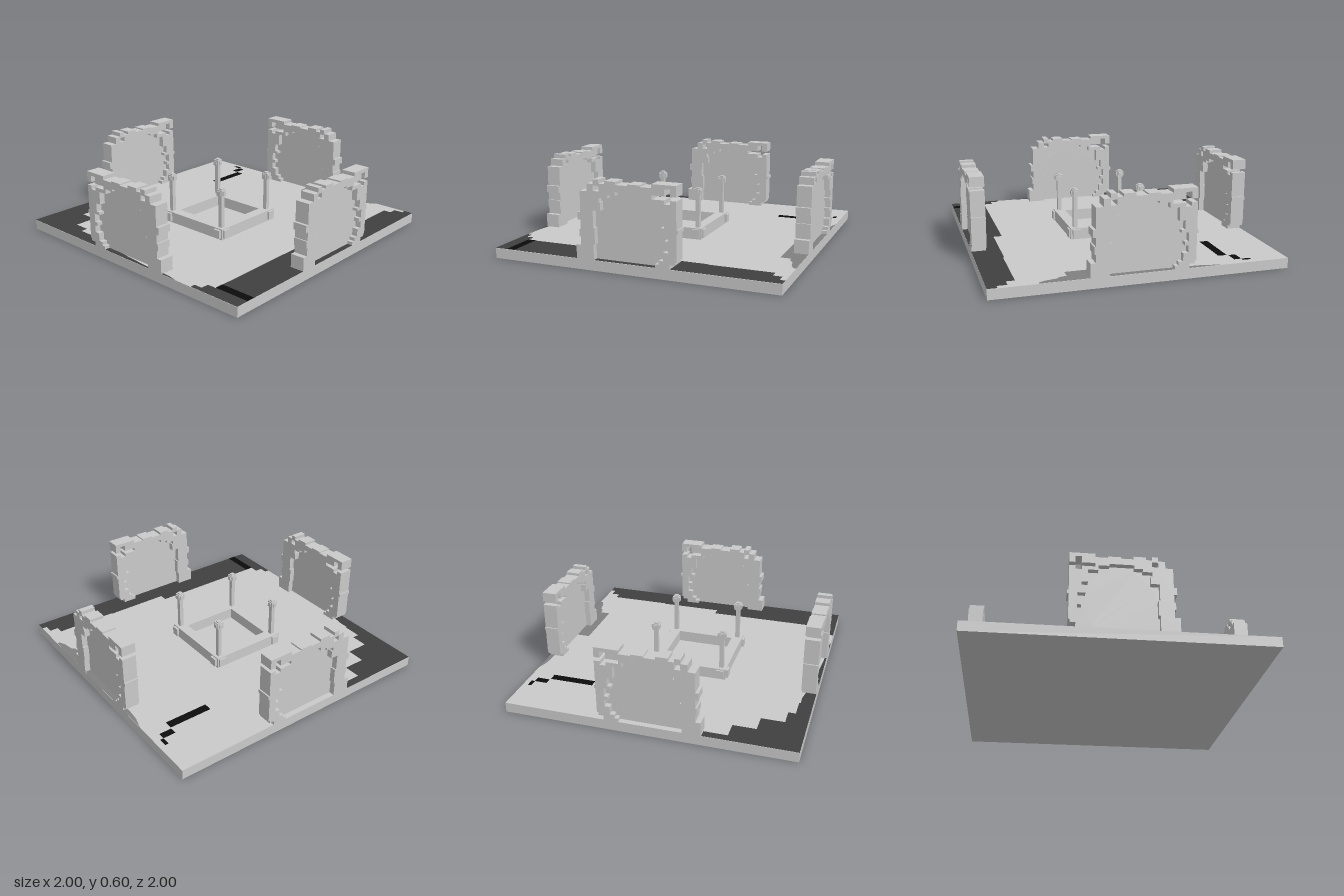
import * as THREE from 'three';

const stone = new THREE.MeshStandardMaterial({ name: 'light stone', color: 0xcacaca });
const dark = new THREE.MeshStandardMaterial({ name: 'dark ground', color: 0x404040 });
const grey = new THREE.MeshStandardMaterial({ name: 'mid grey ground', color: 0x808080 });
const black = new THREE.MeshStandardMaterial({ name: 'black ground', color: 0x0c0c0c });

const TOP = 0.07; // height of the ground slab

function mesh(name, geometry, material) {
  const m = new THREE.Mesh(geometry, material);
  m.name = name;
  return m;
}

function box(name, w, h, d, x, y, z, material = stone) {
  const m = mesh(name, new THREE.BoxGeometry(w, h, d), material);
  m.position.set(x, y, z);
  return m;
}

const toShape = (pts) => new THREE.Shape(pts.map(([x, y]) => new THREE.Vector2(x, y)));

// flat painted area on the slab, given as x, z corners
function patch(name, pts, material, lift) {
  const g = new THREE.ShapeGeometry(toShape(pts.map(([x, z]) => [x, -z])));
  g.rotateX(-Math.PI / 2);
  const m = mesh(name, g, material);
  m.position.y = TOP + lift;
  return m;
}

const rect = (x0, x1, z0, z1) => [[x0, z0], [x1, z0], [x1, z1], [x0, z1]];

function extrude(shape, depth) {
  const g = new THREE.ExtrudeGeometry(shape, { depth, bevelEnabled: false });
  return g.translate(0, 0, -depth / 2);
}

// ragged outer edge of an arch, left foot to right foot
const archOuter = [
  [-.37, .07], [-.37, .165], [-.335, .165], [-.335, .22], [-.345, .22], [-.345, .27],
  [-.335, .27], [-.335, .33], [-.355, .33], [-.355, .38], [-.335, .38], [-.335, .52],
  [-.285, .52], [-.285, .57], [-.24, .57], [-.24, .6], [-.2, .6], [-.2, .575],
  [-.16, .575], [-.16, .595], [-.08, .595], [-.08, .575], [0, .575], [0, .585],
  [.085, .585], [.085, .575], [.165, .575], [.165, .6], [.33, .6], [.33, .53],
  [.29, .53], [.29, .575], [.25, .575], [.25, .53], [.165, .53], [.165, .505],
  [.25, .505], [.25, .48], [.29, .48], [.29, .505], [.33, .505], [.33, .325],
  [.34, .325], [.34, .3], [.33, .3], [.33, .12], [.32, .12], [.32, .1], [.285, .1], [.285, .07],
];

// ragged opening of the arch, left to right
const archInner = [
  [-.245, .07], [-.245, .175], [-.235, .175], [-.235, .285], [-.245, .285], [-.245, .4],
  [-.19, .4], [-.19, .455], [-.2, .455], [-.2, .485], [-.14, .485], [-.14, .505],
  [-.085, .505], [-.085, .53], [.075, .53], [.075, .515], [.145, .515], [.145, .48],
  [.21, .48], [.21, .39], [.25, .39], [.25, .33], [.225, .33], [.225, .31],
  [.275, .31], [.275, .25], [.25, .25], [.25, .225], [.275, .225], [.275, .175],
  [.24, .175], [.24, .12], [.21, .12], [.21, .095], [.185, .095], [.185, .07],
];

function makeArch(name) {
  const arch = new THREE.Group();
  arch.name = name;
  const frame = toShape([...archOuter, ...archInner.slice().reverse()]);
  frame.holes.push(new THREE.Path([[-.24, .525], [-.2, .525], [-.2, .56], [-.24, .56]]
    .map(([x, y]) => new THREE.Vector2(x, y))));
  arch.add(mesh('archFrame', extrude(frame, 0.1), stone));
  arch.add(mesh('archPanel', extrude(toShape(archInner), 0.02), stone));
  return arch;
}

function makePool() {
  const pool = new THREE.Group();
  pool.name = 'pool';
  // square kerb with an open middle
  const kerb = toShape(rect(-.28, .28, -.283, .283));
  kerb.holes.push(new THREE.Path(rect(-.205, .205, -.205, .205).map(([x, y]) => new THREE.Vector2(x, y))));
  const g = extrude(kerb, 0.08).rotateX(-Math.PI / 2);
  const k = mesh('kerb', g, stone);
  k.position.y = TOP + 0.04;
  pool.add(k);
  for (const sx of [-1, 1]) {
    for (const sz of [-1, 1]) {
      const x = sx * 0.243, z = sz * 0.243;
      // corner plates wrapping the kerb
      pool.add(box('cornerPlate', 0.055, 0.06, 0.1, x, TOP + 0.042, sz * 0.247));
      pool.add(box('cornerPlate', 0.1, 0.06, 0.055, sx * 0.247, TOP + 0.042, z));
      // post with a blocky lantern
      pool.add(box('post', 0.03, 0.25, 0.03, x, 0.265, z));
      pool.add(box('lantern', 0.046, 0.046, 0.046, x, 0.405, z));
      pool.add(box('lanternStud', 0.028, 0.064, 0.028, x, 0.405, z));
      pool.add(box('lanternStud', 0.06, 0.028, 0.028, x, 0.405, z));
      pool.add(box('lanternStud', 0.028, 0.028, 0.06, x, 0.405, z));
    }
  }
  pool.position.x = -0.07;
  return pool;
}

export function createModel() {
  const model = new THREE.Group();
  model.name = 'courtyard';
  model.add(box('groundSlab', 2, TOP, 2, 0, TOP / 2, 0));

  // ground markings
  model.add(patch('backLeftPatch', [
    [-1, -1], [-.375, -1], [-.375, -.945], [-.535, -.945], [-.535, -.825], [-.695, -.825],
    [-.695, -.695], [-.855, -.695], [-.855, -.575], [-.905, -.575], [-.905, -.44],
    [-.915, -.44], [-.915, -.365], [-.95, -.2], [-.985, .2], [-.985, .4], [-1, .49],
  ], dark, 0.002));
  model.add(patch('frontPatch', [
    [-1, .62], [-.965, .62], [-.965, .68], [-.91, .68], [-.91, .745], [-.005, .745],
    [-.005, .805], [.46, .805], [.46, .813], [.905, .813], [.905, .87], [.965, .87],
    [.965, .935], [1, .935], [1, 1], [-1, 1],
  ], dark, 0.002));
  model.add(patch('sidePatch', [
    [1, -.51], [.975, -.42], [.97, -.36], [.95, .06], [.845, .06], [.845, .49],
    [.915, .49], [.925, .54], [.945, .56], [.96, .64], [.98, .68], [1, .685],
  ], grey, 0.002));
  const strips = [
    rect(-.91, -.85, .745, 1), rect(.525, .84, -.63, -.57),
    rect(.845, .935, -.69, -.64), rect(.935, .96, -.75, -.69),
  ];
  for (const s of strips) model.add(patch('blackStrip', s, black, 0.004));

  // one arch in the middle of each edge
  for (const s of [-1, 1]) {
    const a = makeArch(s > 0 ? 'frontArch' : 'backArch');
    a.position.z = s * 0.95;
    const b = makeArch(s > 0 ? 'leftArch' : 'rightArch');
    b.rotation.y = Math.PI / 2;
    b.position.set(s * 0.95, 0, -0.01);
    model.add(a, b);
  }

  model.add(makePool());
  return model;
}
